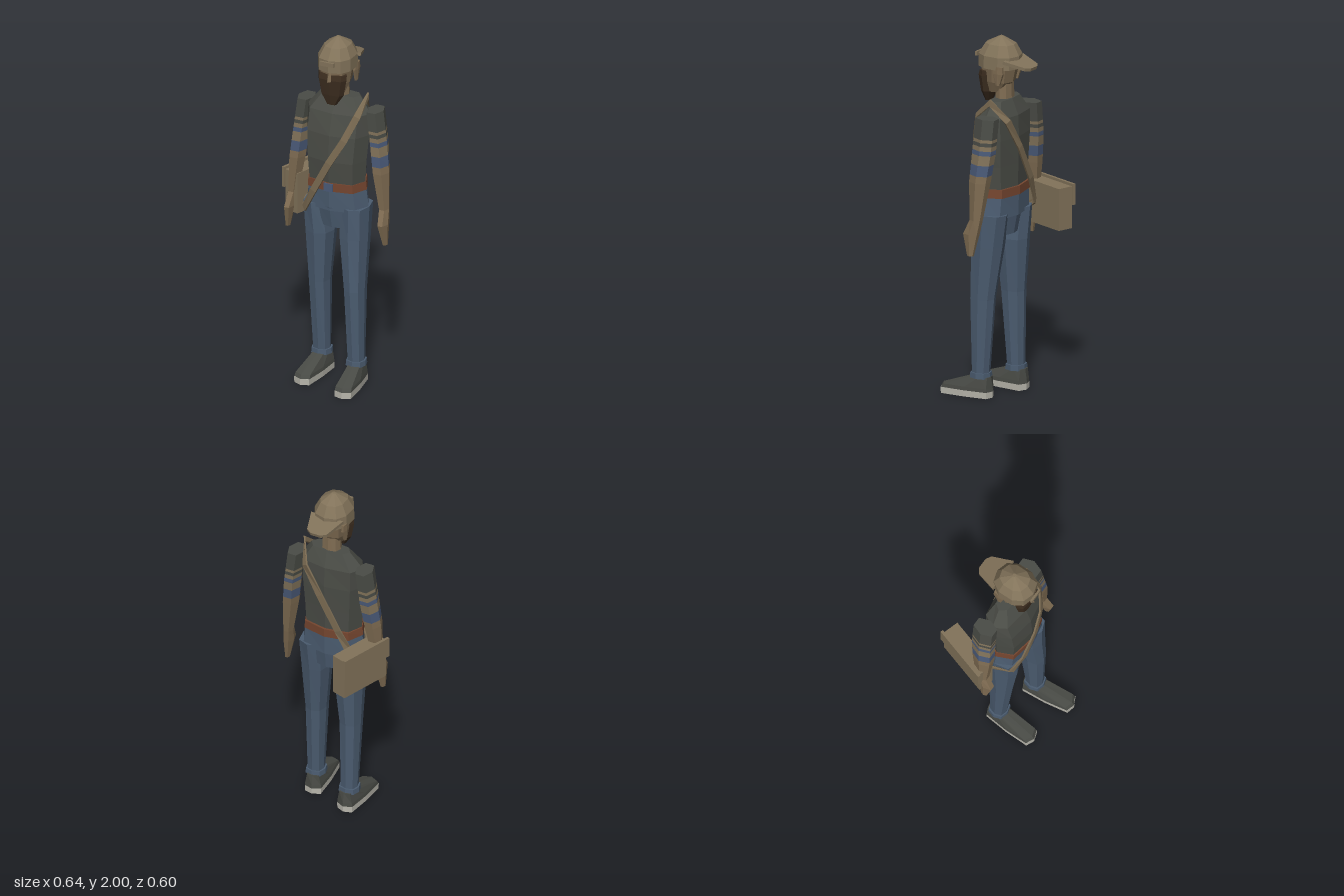
import * as THREE from 'three';

const mat = (name, color) => Object.assign(new THREE.MeshStandardMaterial({ color }), { name });

// Faceted loft through sections [y, x0, x1, z0, z1], listed from bottom to top
function loft(sections, n = 8, power = 0.75, phase = 0) {
  const bend = v => Math.sign(v) * Math.pow(Math.abs(v), power);
  const ring = [];
  for (let j = 0; j < n; j++) {
    const a = phase + (j / n) * Math.PI * 2;
    ring.push([bend(Math.cos(a)), bend(Math.sin(a))]);
  }
  const mx = Math.max(...ring.map(p => Math.abs(p[0])));
  const mz = Math.max(...ring.map(p => Math.abs(p[1])));
  const pos = [], idx = [];
  for (const [y, x0, x1, z0, z1] of sections)
    for (const [u, v] of ring)
      pos.push((x0 + x1) / 2 + (u / mx) * (x1 - x0) / 2, y, (z0 + z1) / 2 + (v / mz) * (z1 - z0) / 2);
  const last = (sections.length - 1) * n;
  for (let i = 0; i < last; i += n)
    for (let j = 0; j < n; j++) {
      const k = (j + 1) % n;
      idx.push(i + j, i + n + j, i + n + k, i + j, i + n + k, i + k);
    }
  for (let j = 1; j < n - 1; j++) idx.push(0, j, j + 1, last, last + j + 1, last + j);
  return flat(pos, idx);
}

function flat(pos, idx) {
  const g = new THREE.BufferGeometry();
  g.setAttribute('position', new THREE.Float32BufferAttribute(pos, 3));
  g.setIndex(idx);
  const f = g.toNonIndexed();
  f.computeVertexNormals();
  return f;
}

// Part of a section list between two heights
function slice(s, y0, y1) {
  const at = y => {
    const i = Math.max(1, s.findIndex(r => r[0] >= y));
    const t = (y - s[i - 1][0]) / (s[i][0] - s[i - 1][0]);
    return s[i].map((v, k) => s[i - 1][k] + (v - s[i - 1][k]) * t);
  };
  return [at(y0), ...s.filter(r => r[0] > y0 + 1e-6 && r[0] < y1 - 1e-6), at(y1)];
}

export function createModel() {
  const model = new THREE.Group();
  model.name = 'standingMan';
  const shirt = mat('shirtGrey', 0x4a4c46), denim = mat('denimBlue', 0x4b5c70);
  const tan = mat('canvasTan', 0x82735a), skin = mat('skin', 0x7f6c52);
  const beardMat = mat('beardBrown', 0x3c2d1f), leather = mat('beltBrown', 0x74452f);
  const stripe = mat('stripeBlue', 0x4a5a78), rubber = mat('soleWhite', 0xb8b6ac);
  const shoe = mat('shoeGrey', 0x484a45);

  const add = (name, geo, m, parent = model) => {
    const mesh = new THREE.Mesh(geo, m);
    mesh.name = name;
    parent.add(mesh);
    return mesh;
  };
  const box = (name, m, size, at, parent) => {
    const b = add(name, new THREE.BoxGeometry(...size), m, parent);
    b.position.set(...at);
    return b;
  };

  // Torso, belt and hips
  add('torso', loft([
    [1.15, -0.155, 0.175, -0.09, 0.12], [1.3, -0.165, 0.185, -0.095, 0.132],
    [1.45, -0.175, 0.198, -0.1, 0.122], [1.57, -0.175, 0.2, -0.095, 0.09],
    [1.66, -0.1, 0.135, -0.06, 0.035],
  ]), shirt);
  add('belt', loft([[1.127, -0.167, 0.185, -0.104, 0.13], [1.175, -0.162, 0.18, -0.104, 0.13]]), leather);
  box('buckle', stripe, [0.055, 0.046, 0.009], [0.01, 1.151, 0.13]);
  add('hips', loft([[1.01, -0.175, 0.198, -0.095, 0.12], [1.13, -0.162, 0.182, -0.098, 0.124]]), denim);
  add('crotch', loft([[0.905, -0.06, 0.095, -0.07, 0.1], [1.03, -0.075, 0.1, -0.09, 0.122]], 8, 0.5), denim);

  // Legs, cuffs and shoes, one foot ahead of the other
  const legs = {
    right: [[0.12, -0.143, -0.05, -0.055, 0.035], [0.55, -0.155, -0.04, -0.06, 0.075],
      [0.85, -0.168, -0.012, -0.085, 0.105], [1.03, -0.176, -0.03, -0.095, 0.115]],
    left: [[0.12, 0.1, 0.188, 0.01, 0.105], [0.55, 0.08, 0.19, -0.02, 0.122],
      [0.85, 0.045, 0.198, -0.065, 0.118], [1.03, 0.045, 0.2, -0.092, 0.118]],
  };
  for (const [side, s] of Object.entries(legs)) {
    add(side + 'Leg', loft(s, 8, 0.75), denim);
    const [, x0, x1, z0, z1] = s[0];
    add(side + 'Cuff', loft([[0.108, x0 - 0.012, x1 + 0.012, z0 - 0.01, z1 + 0.01],
      [0.138, x0 - 0.01, x1 + 0.01, z0 - 0.008, z1 + 0.008]], 8, 0.75), denim);
    const foot = new THREE.Group();
    foot.name = side + 'Foot';
    foot.position.set((x0 + x1) / 2, 0, (z0 + z1) / 2);
    foot.rotation.y = side === 'left' ? 0.12 : -0.06;
    model.add(foot);
    add('sole', loft([[0, -0.052, 0.052, -0.07, 0.238], [0.035, -0.053, 0.053, -0.07, 0.238]], 8, 0.35), rubber, foot);
    add('shoeUpper', loft([[0.035, -0.054, 0.054, -0.072, 0.238], [0.055, -0.052, 0.052, -0.07, 0.225],
      [0.115, -0.038, 0.038, -0.06, 0.05]], 8, 0.4), shoe, foot);
  }

  // Arms: offsets from the body centre line, cut into sleeve, stripes and skin
  const arm = [
    [0.83, 0.28, 0.305, 0.005, 0.04], [0.95, 0.255, 0.308, -0.02, 0.068],
    [1.03, 0.245, 0.302, -0.035, 0.03], [1.24, 0.205, 0.298, -0.065, 0.042],
    [1.4, 0.185, 0.28, -0.085, 0.035], [1.59, 0.16, 0.255, -0.09, 0.03],
  ];
  const bands = [
    ['hand', 0.83, 1.03, skin], ['forearm', 1.03, 1.28, skin], ['lowerStripe', 1.28, 1.34, stripe],
    ['lowerBand', 1.34, 1.395, tan], ['upperStripe', 1.395, 1.42, stripe],
    ['upperBand', 1.42, 1.445, tan], ['cuffBand', 1.445, 1.465, shirt],
    ['thinBand', 1.465, 1.482, tan], ['sleeve', 1.482, 1.59, shirt],
  ];
  for (const [side, sx] of [['left', 1], ['right', -1]])
    for (const [name, y0, y1, m] of bands) {
      const s = slice(arm, y0, y1).map(([y, a, b, z0, z1]) =>
        sx > 0 ? [y, 0.008 + a, 0.008 + b, z0, z1] : [y, 0.008 - b, 0.008 - a, z0, z1]);
      add(side + name[0].toUpperCase() + name.slice(1), loft(s, 6, 0.9), m);
    }

  // Neck, head, ears and beard
  add('neck', loft([[1.6, -0.045, 0.07, -0.055, 0.035], [1.78, -0.035, 0.06, -0.05, 0.035]]), skin);
  add('head', loft([
    [1.69, -0.04, 0.066, -0.01, 0.1], [1.75, -0.062, 0.088, -0.06, 0.112],
    [1.86, -0.078, 0.104, -0.085, 0.125],
  ]), skin);
  for (const x of [-0.077, 0.103]) {
    const ear = add('ear', loft([[1.745, -0.008, 0.008, -0.01, 0.014], [1.81, -0.012, 0.012, -0.032, 0.03],
      [1.85, -0.01, 0.01, -0.03, 0.025]], 6), skin);
    ear.position.set(x, 0, -0.025);
  }
  add('beard', loft([
    [1.63, -0.016, 0.042, 0.078, 0.106], [1.69, -0.055, 0.081, 0.052, 0.118],
    [1.78, -0.072, 0.098, 0.045, 0.127], [1.81, -0.072, 0.098, 0.045, 0.118],
  ]), beardMat);
  add('nose', loft([[1.775, 0, 0.026, 0.11, 0.145], [1.84, 0.006, 0.02, 0.11, 0.128]], 4, 1), skin);

  // Cap worn backwards, with its strap in front and brim behind
  add('capCrown', loft([
    [1.83, -0.086, 0.112, -0.1, 0.138], [1.9, -0.084, 0.11, -0.1, 0.138],
    [1.96, -0.055, 0.081, -0.068, 0.1], [2.0, 0.003, 0.023, 0.004, 0.022],
  ], 10, 0.85, Math.PI / 10), tan);
  box('capStrap', tan, [0.083, 0.024, 0.012], [0.013, 1.886, 0.15]);
  const brim = new THREE.Shape([[-0.098, 0.06], [-0.085, 0.1], [-0.06, 0.18], [-0.03, 0.2],
    [0.03, 0.2], [0.06, 0.18], [0.085, 0.1], [0.098, 0.06]].map(p => new THREE.Vector2(...p)));
  const brimMesh = add('capBrim', new THREE.ExtrudeGeometry(brim, { depth: 0.018, bevelEnabled: false }), tan);
  brimMesh.rotation.x = -Math.PI / 2 - 0.24;
  brimMesh.position.set(0.013, 1.885, 0);

  // Shoulder strap: [x, y, z, outward x, outward z]
  const path = [
    [0.17, 1.665, -0.02, 1, 0], [0.155, 1.575, 0.075, 0.5, 1], [0.1, 1.44, 0.122, 0.2, 1],
    [0.02, 1.3, 0.141, 0, 1], [-0.075, 1.12, 0.134, -0.2, 1], [-0.145, 0.99, 0.1, -0.6, 1],
    [-0.185, 0.99, 0, -1, 0], [-0.15, 1.05, -0.09, -0.5, -1], [-0.08, 1.2, -0.11, 0, -1],
    [0.03, 1.4, -0.113, 0, -1], [0.125, 1.56, -0.1, 0.4, -1],
  ];
  const pos = [], idx = [], n = path.length;
  path.forEach(([x, y, z, ox, oz], i) => {
    const prev = path[(i + n - 1) % n], next = path[(i + 1) % n];
    const out = new THREE.Vector3(ox, 0, oz).normalize();
    const along = new THREE.Vector3(next[0] - prev[0], next[1] - prev[1], next[2] - prev[2]);
    const wide = along.cross(out).normalize().multiplyScalar(0.019);
    for (const [w, t] of [[-1, 0], [1, 0], [1, 0.01], [-1, 0.01]])
      pos.push(x + wide.x * w + out.x * t, y + wide.y * w, z + wide.z * w + out.z * t);
    const a = i * 4, b = ((i + 1) % n) * 4;
    for (let j = 0; j < 4; j++) {
      const k = (j + 1) % 4;
      idx.push(a + j, b + k, b + j, a + j, a + k, b + k);
    }
  });
  const strapMat = mat('strapTan', 0x7b6b52);
  strapMat.side = THREE.DoubleSide;
  add('shoulderStrap', flat(pos, idx), strapMat);

  // Satchel on the right hip with a flap on its outer side
  const bag = new THREE.Group();
  bag.name = 'satchel';
  bag.position.set(-0.22, 1.03, -0.128);
  bag.rotation.y = -0.305;
  model.add(bag);
  box('bagBody', tan, [0.09, 0.235, 0.31], [0, -0.002, 0], bag);
  box('bagFlap', tan, [0.016, 0.118, 0.33], [-0.053, 0.071, 0], bag);
  return model;
}
